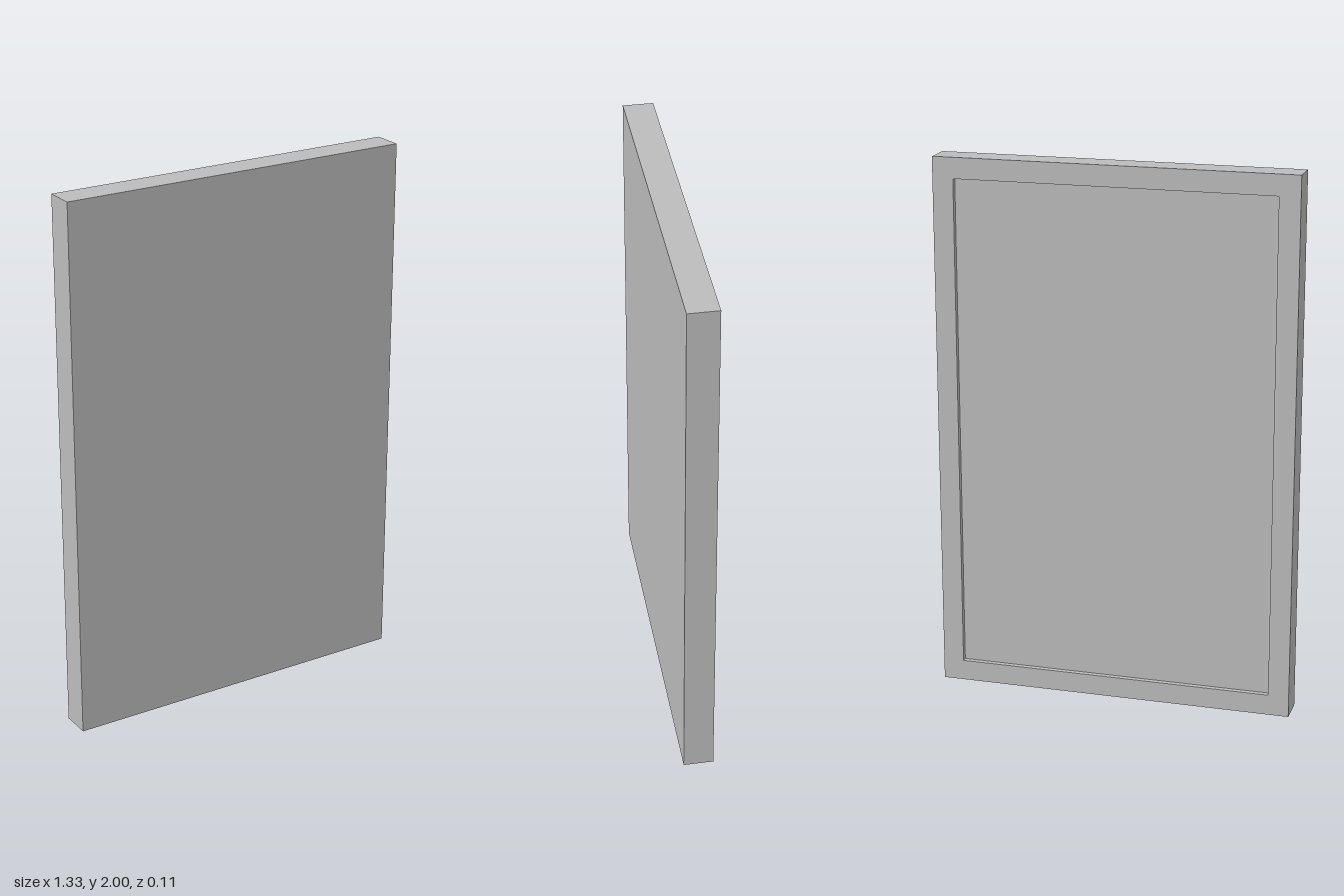
import * as THREE from 'three';

const WIDTH = 1.333, HEIGHT = 2, DEPTH = 0.11;
const BORDER = 0.077, RECESS = 0.02;

// Closed rectangle path centred on the origin
function rectangle(PathType, w, h) {
  return new PathType([
    new THREE.Vector2(-w / 2, -h / 2),
    new THREE.Vector2(w / 2, -h / 2),
    new THREE.Vector2(w / 2, h / 2),
    new THREE.Vector2(-w / 2, h / 2),
  ]);
}

export function createModel() {
  const group = new THREE.Group();
  group.name = 'panel';
  const grey = new THREE.MeshStandardMaterial({ color: 0xbcbcbc });
  grey.name = 'plain grey';

  // Outer casing: a slab with a shallow rectangular pocket in the back
  const shape = rectangle(THREE.Shape, WIDTH, HEIGHT);
  shape.holes.push(rectangle(THREE.Path, WIDTH - 2 * BORDER, HEIGHT - 2 * BORDER));
  const frame = new THREE.Mesh(
    new THREE.ExtrudeGeometry(shape, { depth: RECESS, bevelEnabled: false }), grey);
  frame.name = 'backRim';
  frame.position.set(0, HEIGHT / 2, -DEPTH / 2);
  group.add(frame);

  // Solid front slab, whose back face is the floor of the pocket
  const slab = new THREE.Mesh(new THREE.BoxGeometry(WIDTH, HEIGHT, DEPTH - RECESS), grey);
  slab.name = 'frontSlab';
  slab.position.set(0, HEIGHT / 2, RECESS / 2);
  group.add(slab);

  return group;
}
